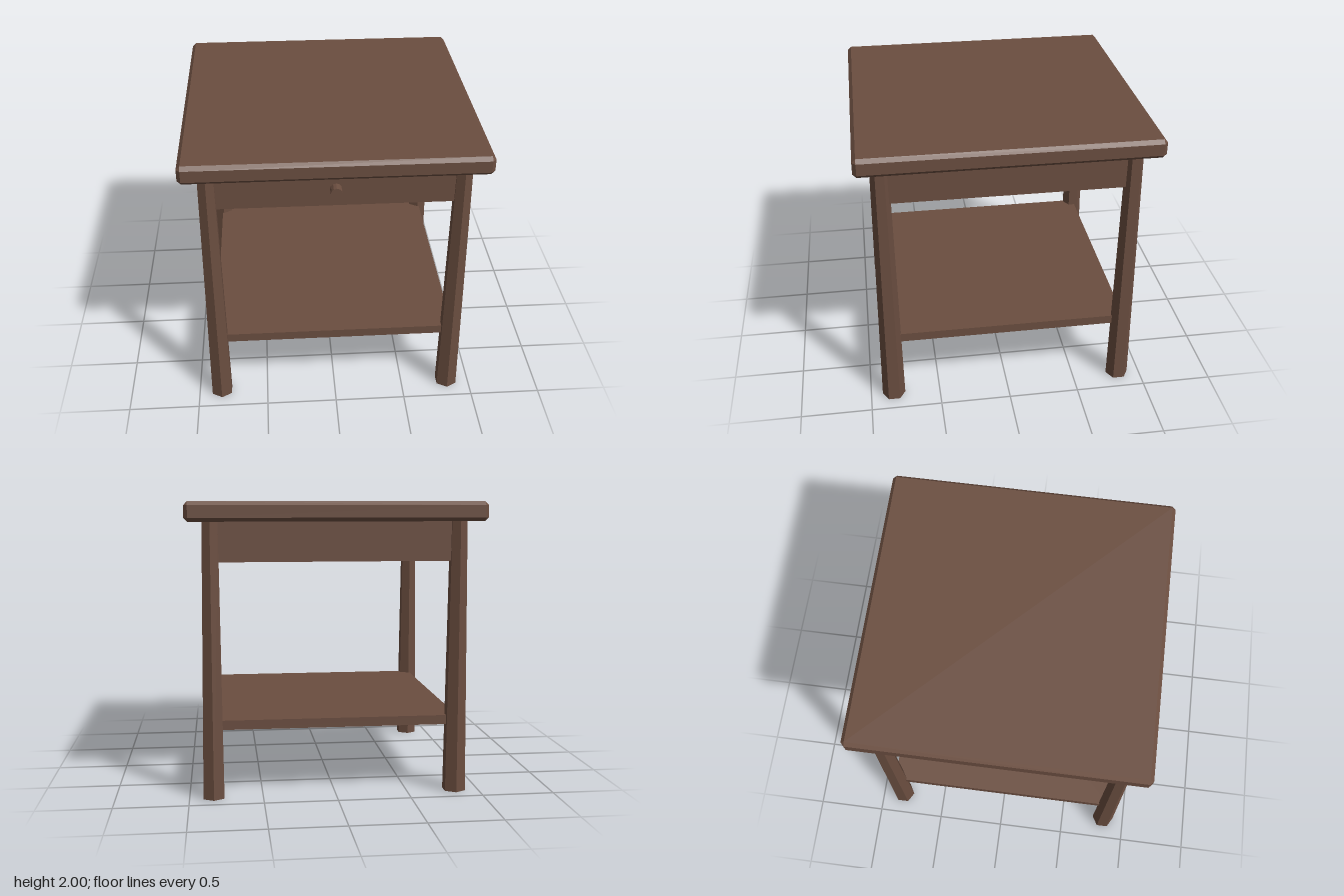
import * as THREE from 'three';
import { ConvexGeometry } from 'three/addons/geometries/ConvexGeometry.js';

const wood = new THREE.MeshStandardMaterial({ color: 0x6b4e40, flatShading: true });
wood.name = 'brown wood';

function add(parent, name, geometry, x, y, z) {
  const mesh = new THREE.Mesh(geometry, wood);
  mesh.name = name;
  mesh.position.set(x, y, z);
  parent.add(mesh);
  return mesh;
}

// Box with every edge and corner cut by c
function chamferedBox(w, h, d, c) {
  const points = [];
  for (const sx of [-1, 1]) for (const sy of [-1, 1]) for (const sz of [-1, 1]) {
    for (let axis = 0; axis < 3; axis++) {
      const half = [w / 2, h / 2, d / 2].map((v, i) => (i === axis ? v : v - c));
      points.push(new THREE.Vector3(sx * half[0], sy * half[1], sz * half[2]));
    }
  }
  return new ConvexGeometry(points);
}

export function createModel() {
  const table = new THREE.Group();
  table.name = 'sideTable';

  // Top, solid drawer case and lower shelf
  add(table, 'tableTop', chamferedBox(2, 0.13, 2, 0.025), 0, 1.935, 0);
  add(table, 'apron', new THREE.BoxGeometry(1.71, 0.27, 1.71), 0, 1.737, 0);
  add(table, 'shelf', new THREE.BoxGeometry(1.69, 0.064, 1.69), 0, 0.502, 0);

  // Tapered six-sided legs
  const legGeometry = new THREE.CylinderGeometry(0.06, 0.082, 1.87, 6);
  for (const [side, x] of [['Left', 0.835], ['Right', -0.835]]) {
    add(table, 'front' + side + 'Leg', legGeometry, x, 0.935, 0.835);
    add(table, 'back' + side + 'Leg', legGeometry, x, 0.935, -0.835);
  }

  // Drawer with round knob
  const drawer = new THREE.Group();
  drawer.name = 'drawer';
  add(drawer, 'drawerFront', new THREE.BoxGeometry(1.195, 0.167, 0.03), 0, 1.737, 0.855);
  const knob = add(drawer, 'knob', new THREE.CylinderGeometry(0.039, 0.039, 0.075, 12), 0, 1.737, 0.898);
  knob.rotation.x = Math.PI / 2;
  table.add(drawer);

  return table;
}
